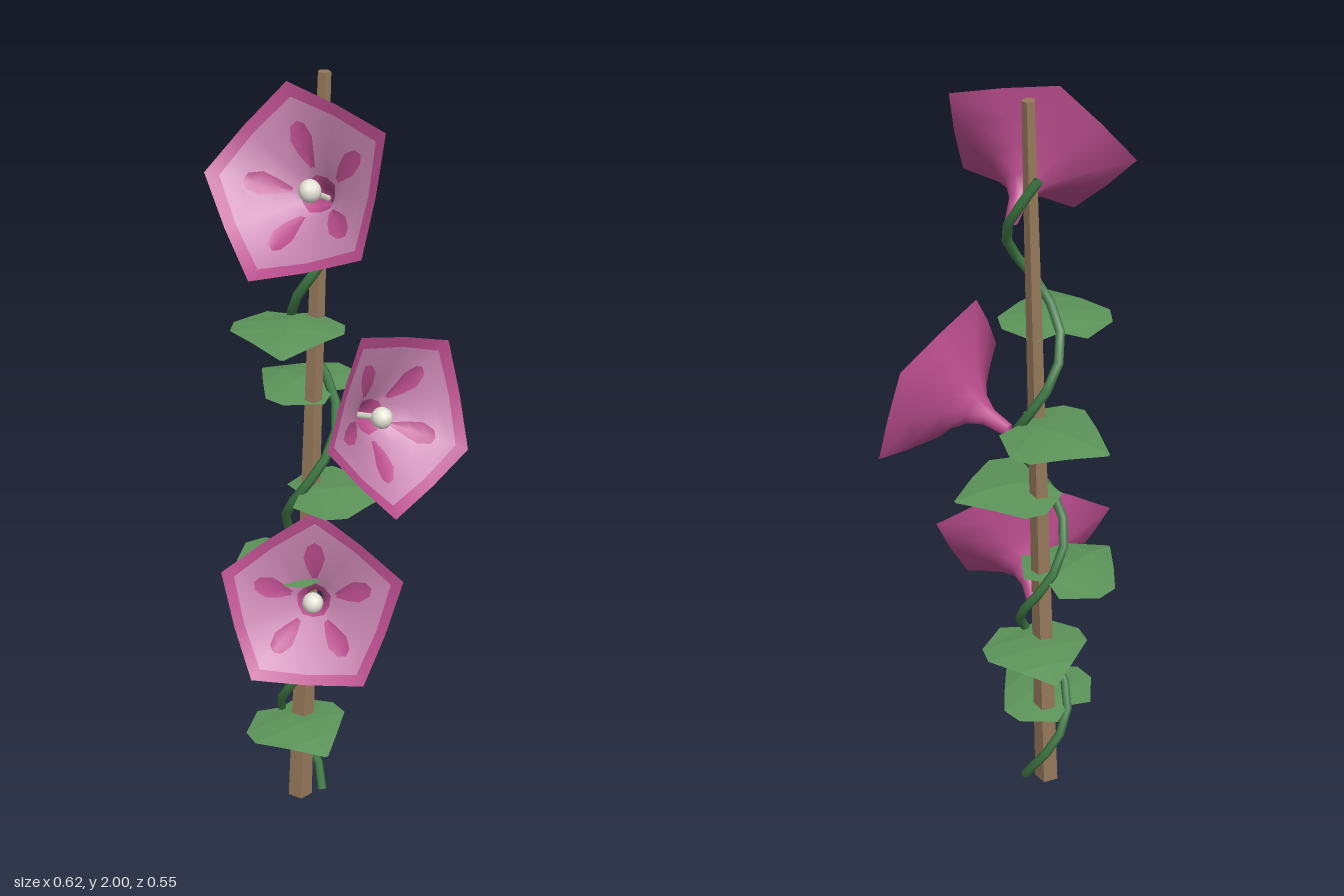
import * as THREE from 'three';

const V = (x, y, z) => new THREE.Vector3(x, y, z);
const mat = (name, color, extra = {}) => {
  const m = new THREE.MeshStandardMaterial({ color, ...extra });
  m.name = name;
  return m;
};

// Surface from a grid of points; optionally closed around the second direction
function grid(point, rows, cols, closed = false) {
  const pos = [], idx = [];
  for (let i = 0; i < rows; i++) for (let j = 0; j < cols; j++) pos.push(...point(i, j).toArray());
  for (let i = 0; i < rows - 1; i++) {
    for (let j = 0; j < (closed ? cols : cols - 1); j++) {
      const k = (j + 1) % cols;
      const a = i * cols + j, b = i * cols + k, c = a + cols, d = b + cols;
      idx.push(a, b, c, b, d, c);
    }
  }
  const g = new THREE.BufferGeometry();
  g.setAttribute('position', new THREE.Float32BufferAttribute(pos, 3));
  g.setIndex(idx);
  g.computeVertexNormals();
  return g;
}

// Trumpet profile: [distance along the axis, radius]
const PROFILE = [[0, 0.016], [0.06, 0.023], [0.1, 0.045], [0.14, 0.095], [0.18, 0.165], [0.217, 0.237]];

// Point on the trumpet: s = position in the profile, k = corner number (halves are edge middles)
function trumpetPoint(s, k, lift = 0) {
  const i = Math.min(Math.floor(s), PROFILE.length - 2), f = s - i;
  const t = THREE.MathUtils.lerp(PROFILE[i][0], PROFILE[i + 1][0], f);
  const r = THREE.MathUtils.lerp(PROFILE[i][1], PROFILE[i + 1][1], f);
  const midScale = THREE.MathUtils.lerp(1, 0.83, s / (PROFILE.length - 1));
  const at = (h) => {
    const a = Math.PI / 2 + (h * Math.PI) / 5;
    const q = h % 2 === 0 ? r : r * midScale;
    return V(Math.cos(a) * q, Math.sin(a) * q, t + lift);
  };
  const h = Math.floor(k * 2);
  return at(h).lerp(at(h + 1), k * 2 - h);
}

export function createModel() {
  const model = new THREE.Group();
  const two = { side: THREE.DoubleSide };
  const wood = mat('stake wood', 0x94785a, { flatShading: true });
  const vineGreen = mat('vine green', 0x3f7a45, two);
  const leafGreen = mat('leaf green', 0x5c9459, { ...two, flatShading: true });
  const magenta = mat('petal magenta', 0xb84c8c, two);
  const pink = mat('throat pink', 0xc583ae, two);
  const cream = mat('pistil cream', 0xe6e4d8);

  const add = (parent, name, geometry, material) => {
    const m = new THREE.Mesh(geometry, material);
    m.name = name;
    parent.add(m);
    return m;
  };

  // Leaning, tapered stake
  const foot = V(-0.107, 0.005, -0.054), top = V(-0.028, 2, -0.083);
  const stake = add(model, 'stake', new THREE.CylinderGeometry(0.016, 0.033, foot.distanceTo(top), 5), wood);
  stake.position.copy(foot).lerp(top, 0.5);
  stake.quaternion.setFromUnitVectors(V(0, 1, 0), top.clone().sub(foot).normalize());

  // Vine winding around the stake
  const vineAt = (y) => {
    const c = foot.clone().lerp(top, y / 2);
    const a = ((y - 0.17) / 0.557) * Math.PI * 2;
    return V(c.x - 0.06 * Math.sin(a), y, c.z - 0.06 * Math.cos(a));
  };
  const path = Array.from({ length: 29 }, (_, i) => vineAt(0.015 + (i / 28) * 1.82));
  add(model, 'vine', new THREE.TubeGeometry(new THREE.CatmullRomCurve3(path), 30, 0.012, 6), vineGreen);

  // Heart-shaped leaf: [midrib distance, edge distance, half width, height of midrib]
  const LEAF = [
    [0, -0.025, 0.06, 0], [0.05, 0.045, 0.132, 0.008], [0.1, 0.1, 0.135, 0.01],
    [0.17, 0.165, 0.075, 0.004], [0.235, 0.235, 0.004, -0.012],
  ];
  const leafGeometry = grid((i, j) => {
    const [mid, edge, w, y] = LEAF[i];
    return V((j - 1) * w, j === 1 ? y : y - 0.1 * w, j === 1 ? mid : edge);
  }, LEAF.length, 3);
  // [height, direction x, direction z]
  [
    [0.265, 0.4, 0.92], [0.5, 0, -1], [0.72, -0.85, 0.45],
    [0.955, 1, 0], [1.19, -0.66, -0.75], [1.41, -0.2, 0.98],
  ].forEach(([y, dx, dz]) => {
    const leaf = add(model, 'leaf', leafGeometry, leafGreen);
    leaf.position.copy(vineAt(y));
    leaf.rotation.y = Math.atan2(dx, dz);
  });

  // Trumpet flower parts, axis along +z with one corner at +y
  const trumpet = grid((i, j) => trumpetPoint(i, j / 2), PROFILE.length, 10, true);
  const throatRows = [2, 3, 4, 4.55];
  const throat = grid((i, j) => trumpetPoint(throatRows[i], j / 2, 0.004), throatRows.length, 10, true);
  const markRows = [[2.3, 0.08], [3, 0.18], [3.5, 0.2], [3.85, 0.11]];
  const marks = [0, 1, 2, 3, 4].map((k) =>
    grid((i, j) => trumpetPoint(markRows[i][0], 5 + k + (j - 1) * markRows[i][1], 0.008), markRows.length, 3));

  // [base, rim centre, one rim corner]
  [
    [V(-0.002, 1.7, -0.048), V(-0.115, 1.802, 0.105), V(-0.116, 1.99, -0.03)],
    [V(0.008, 1.15, -0.058), V(0.125, 1.207, 0.11), V(0.02, 1.42, 0.09)],
    [V(-0.055, 0.62, -0.072), V(-0.093, 0.71, 0.121), V(-0.07, 0.925, 0.03)],
  ].forEach(([base, centre, corner]) => {
    const flower = new THREE.Group();
    flower.name = 'flower';
    const z = centre.clone().sub(base).normalize();
    const x = corner.clone().sub(centre).cross(z).normalize();
    const y = z.clone().cross(x);
    flower.quaternion.setFromRotationMatrix(new THREE.Matrix4().makeBasis(x, y, z));
    flower.position.copy(base);
    add(flower, 'trumpet', trumpet, magenta);
    add(flower, 'throat', throat, pink);
    marks.forEach((g) => add(flower, 'petalMark', g, magenta));
    // Pistil on a thin stalk
    const tip = add(flower, 'pistilTip', new THREE.SphereGeometry(0.027, 10, 8), cream);
    tip.position.z = 0.148;
    const stalk = add(flower, 'pistilStalk', new THREE.CylinderGeometry(0.008, 0.008, 0.09, 6), cream);
    stalk.rotation.x = Math.PI / 2;
    stalk.position.z = 0.1;
    model.add(flower);
  });

  return model;
}
